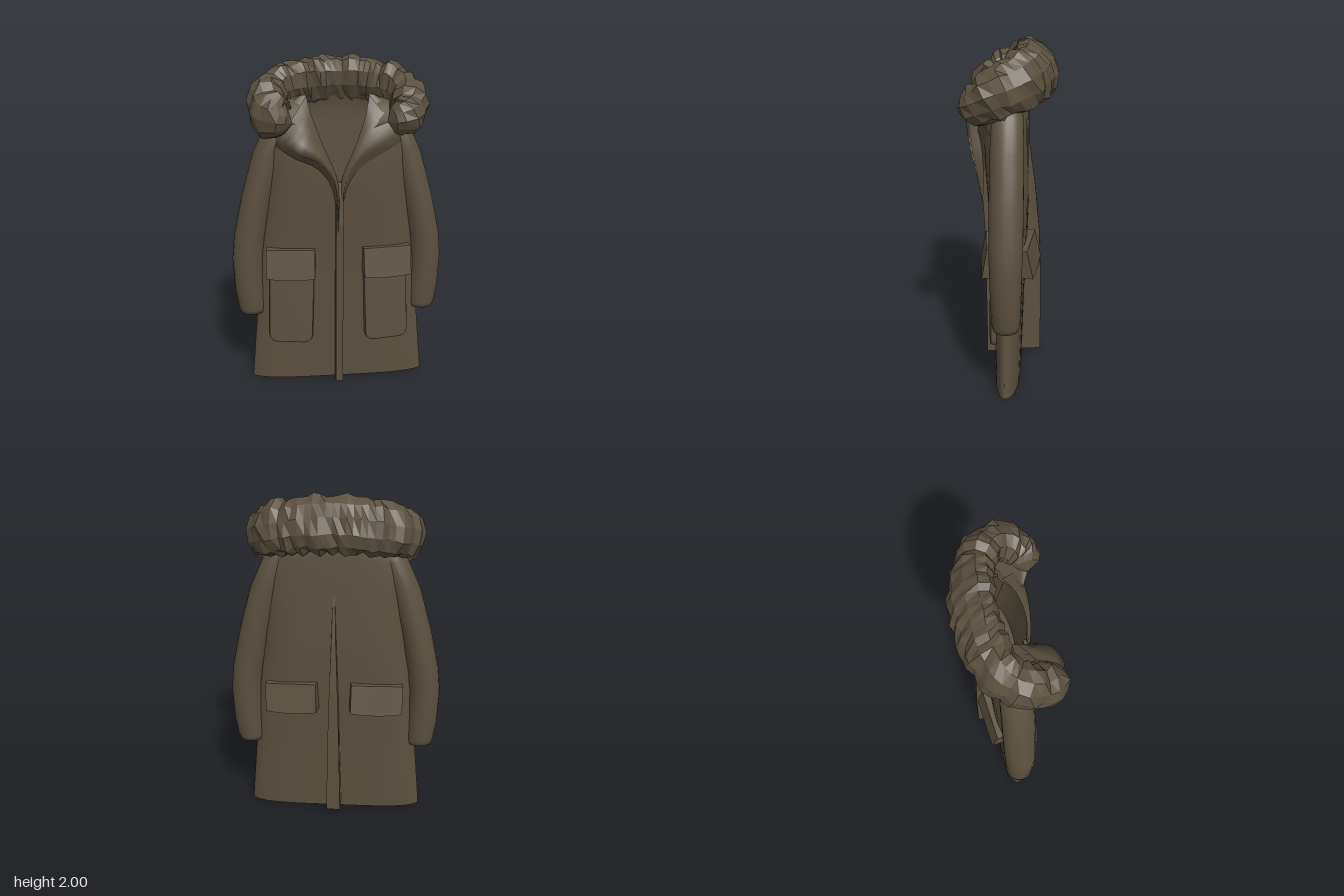
import * as THREE from 'three';

const V = (x, y, z) => new THREE.Vector3(x, y, z);
const cloth = new THREE.MeshStandardMaterial({ color: 0x5b5040, side: THREE.DoubleSide });
cloth.name = 'darkOliveCloth';

let seed = 11;
const rand = () => (seed = (seed * 16807) % 2147483647) / 2147483647;

// Linear lookup in rows of [key, value, value...]
function lookup(rows, k, col) {
  for (let i = 1; i < rows.length; i++) {
    const a = rows[i - 1], b = rows[i];
    if (k <= b[0] || i === rows.length - 1) {
      const t = THREE.MathUtils.clamp((k - a[0]) / (b[0] - a[0]), 0, 1);
      return a[col] + (b[col] - a[col]) * t;
    }
  }
}

// Surface through rows of points; closed joins the ends of each row
function loft(rows, closed = false, flat = false) {
  const n = rows[0].length, pos = [], idx = [];
  rows.forEach(r => r.forEach(p => pos.push(p.x, p.y, p.z)));
  for (let i = 0; i < rows.length - 1; i++) {
    for (let j = 0; j < (closed ? n : n - 1); j++) {
      const a = i * n + j, b = i * n + (j + 1) % n, c = a + n, d = b + n;
      idx.push(a, b, d, a, d, c);
    }
  }
  let g = new THREE.BufferGeometry();
  g.setAttribute('position', new THREE.Float32BufferAttribute(pos, 3));
  g.setIndex(idx);
  if (flat) g = g.toNonIndexed();
  g.computeVertexNormals();
  return g;
}

const curve = pts => new THREE.CatmullRomCurve3(pts.map(p => V(...p)));

// y, half width, front depth, back depth, half width of the neck opening
const BODY = [
  [0, 0.545, 0.07, -0.082, 0], [0.45, 0.502, 0.078, -0.095, 0], [0.8, 0.47, 0.092, -0.112, 0],
  [1.1, 0.43, 0.115, -0.12, 0], [1.3, 0.415, 0.13, -0.118, 0], [1.5, 0.415, 0.135, -0.114, 0.09],
  [1.62, 0.395, 0.11, -0.112, 0.14], [1.72, 0.33, 0.06, -0.108, 0.165], [1.78, 0.21, 0.0, -0.09, 0.18],
];
function bodyPoint(x, y, front) {
  const u = Math.min(1, Math.abs(x) / lookup(BODY, y, 1));
  const depth = lookup(BODY, y, front ? 2 : 3);
  return V(x, y, depth * Math.sqrt(1 - u ** (front ? 3.5 : 4.5)));
}
const levels = Array.from({ length: 25 }, (_, i) => 1.78 * i / 24);
const across = Array.from({ length: 21 }, (_, i) => i / 20);

export function createModel() {
  const coat = new THREE.Group();
  coat.name = 'coat';
  const add = (name, geo) => {
    const m = new THREE.Mesh(geo, cloth);
    m.name = name;
    coat.add(m);
    return m;
  };

  // Body panels
  const easeOut = t => Math.sin(t * Math.PI / 2);
  add('backPanel', loft(levels.map(y => across.map(t =>
    bodyPoint(Math.sin((t - 0.5) * Math.PI) * lookup(BODY, y, 1), y, false)))));
  for (const s of [1, -1]) {
    add(s > 0 ? 'leftFrontPanel' : 'rightFrontPanel', loft(levels.map(y => {
      const a = lookup(BODY, y, 4), b = lookup(BODY, y, 1);
      const row = across.map(t => bodyPoint(s * (a + (b - a) * easeOut(t)), y, true));
      return s > 0 ? row : row.reverse();
    })));
  }
  add('hemUnderside', loft([true, false].map(f =>
    across.map(t => bodyPoint(Math.sin((t - 0.5) * Math.PI) * 0.545, 0, f)))));

  // Sleeves: y, centre x, half width, half depth
  const sleeve = [
    [1.69, 0.29, 0.05, 0.05], [1.62, 0.335, 0.08, 0.085], [1.45, 0.402, 0.092, 0.092],
    [1.2, 0.475, 0.092, 0.094], [0.95, 0.53, 0.094, 0.094], [0.8, 0.547, 0.093, 0.09],
    [0.6, 0.541, 0.092, 0.085], [0.48, 0.531, 0.084, 0.08], [0.452, 0.53, 0.075, 0.073],
    [0.455, 0.53, 0.058, 0.056], [0.52, 0.53, 0.055, 0.052], [0.52, 0.53, 0.001, 0.001],
  ];
  for (const s of [1, -1]) {
    const rows = sleeve.map(([y, x, w, d]) => Array.from({ length: 18 }, (_, j) => {
      const a = -s * j / 18 * Math.PI * 2;
      return V(s * (x + w * Math.cos(a)), y, -0.008 + d * Math.sin(a));
    }));
    add(s > 0 ? 'leftSleeve' : 'rightSleeve', loft(rows, true));
  }

  // Front placket and back pleat, cut from side profiles (z, y)
  function ridge(name, profile, half, widthAt) {
    const shape = new THREE.Shape(profile.map(p => new THREE.Vector2(...p)));
    const g = new THREE.ExtrudeGeometry(shape, { depth: 2 * half, bevelEnabled: false });
    g.translate(0, 0, -half).rotateY(-Math.PI / 2);
    const p = g.attributes.position;
    for (let i = 0; i < p.count; i++) p.setX(i, p.getX(i) * widthAt(p.getY(i)));
    g.computeVertexNormals();
    add(name, g);
  }
  ridge('frontPlacket', [[0.05, 0], [0.14, 0], [0.143, 0.5], [0.15, 0.9], [0.16, 1.05],
    [0.15, 1.22], [0.135, 1.3], [0.11, 1.3], [0.08, 0.9]], 0.022, () => 1);
  ridge('backPleat', [[-0.07, 0.035], [-0.2, 0.045], [-0.198, 0.5], [-0.185, 0.85],
    [-0.155, 1.15], [-0.116, 1.42], [-0.11, 1.2], [-0.1, 0.8]], 0.043,
  y => Math.max(0.15, 1 - (y / 1.45) ** 1.6));

  // Pockets and flaps
  function pocketShape(w, h, r) {
    const s = new THREE.Shape(), x = w / 2, y = h / 2;
    s.moveTo(-x, y).lineTo(-x, -y + r).quadraticCurveTo(-x, -y, -x + r, -y);
    s.lineTo(x - r, -y).quadraticCurveTo(x, -y, x, -y + r).lineTo(x, y);
    return s;
  }
  function flapGeometry(w, h, top, bottom) {
    const g = new THREE.BoxGeometry(w, h, 0.1, 6, 1, 1);
    const p = g.attributes.position;
    for (let i = 0; i < p.count; i++) {
      const low = p.getY(i) < 0;
      if (p.getZ(i) > 0) p.setZ(i, low ? bottom : top);
      if (low) p.setY(i, p.getY(i) + 0.012 * (Math.abs(p.getX(i)) * 2 / w) ** 2);
    }
    g.computeVertexNormals();
    return g;
  }
  for (const s of [1, -1]) {
    const side = s > 0 ? 'left' : 'right';
    const bag = add(side + 'FrontPocket', new THREE.ExtrudeGeometry(pocketShape(0.25, 0.46, 0.05),
      { depth: 0.06, bevelThickness: 0.012, bevelSize: 0.01, bevelSegments: 2 }));
    bag.position.set(s * 0.285, 0.505, 0.025);
    bag.rotation.set(-0.03, s * 0.1, s * 0.035);
    const flap = add(side + 'FrontFlap', flapGeometry(0.29, 0.185, 0.055, 0.085));
    flap.position.set(s * 0.285, 0.795, 0.063);
    flap.rotation.y = s * 0.1;
    const rear = add(side + 'BackFlap', flapGeometry(0.31, 0.18, 0.04, 0.075));
    rear.position.set(s * 0.25, 0.79, -0.1);
    rear.rotation.set(0, Math.PI - s * 0.13, s * 0.05);
  }

  // Lapels: the right one stands further out
  const lapel = (name, s, outer) => {
    const inner = curve([[0, 1.0, 0.12], [0.008, 1.3, 0.135], [0.09, 1.51, 0.13],
      [0.155, 1.68, 0.08], [0.18, 1.78, 0.02]].map(([x, y, z]) => [s * x, y, z]));
    const edge = curve(outer.map(([x, y, z]) => [s * x, y, z]));
    const rows = Array.from({ length: 15 }, (_, i) => {
      const a = inner.getPoint(i / 14), b = edge.getPoint(i / 14);
      return [0, 0.25, 0.5, 0.75, 1].map(t => {
        const p = a.clone().lerp(b, t);
        p.z += 0.025 * Math.sin(t * Math.PI) * (i / 14);
        return p;
      }).concat(bodyPoint(b.x * 1.06, b.y - 0.06, true));
    });
    add(name, loft(rows));
  };
  lapel('rightLapel', -1, [[0.012, 1.0, 0.163], [0.018, 1.19, 0.2], [0.05, 1.35, 0.24],
    [0.13, 1.45, 0.265], [0.24, 1.5, 0.28], [0.34, 1.57, 0.18]]);
  lapel('leftLapel', 1, [[0.012, 1.0, 0.15], [0.018, 1.19, 0.153], [0.05, 1.35, 0.158],
    [0.13, 1.46, 0.165], [0.23, 1.52, 0.163], [0.34, 1.58, 0.13]]);

  // Fur trim: a lumpy horseshoe around the hood
  const half = [[0.265, 1.65, 0.175], [0.36, 1.675, 0.15], [0.402, 1.745, 0.05],
    [0.35, 1.79, -0.06], [0.2, 1.825, -0.135]];
  const mirror = pts => [...pts.map(([x, y, z]) => [-x, y, z]), [0, 1.84, -0.158],
    ...[...pts].reverse()];
  const path = curve(mirror(half));
  const N = 44, R = 11, fur = [];
  for (let i = 0; i <= N; i++) {
    const t = i / N, c = path.getPointAt(t), tan = path.getTangentAt(t);
    const out = V(tan.z, 0, -tan.x).normalize();
    const up = out.clone().cross(tan).normalize();
    if (up.y < 0) up.negate();
    const mid = Math.sin(t * Math.PI);
    const lean = 0.55 * mid ** 2; // the back of the trim leans towards the face
    const end = Math.min(1, Math.sqrt(Math.min(t, 1 - t) / 0.06) + 0.02);
    const fold = 1 + 0.13 * (rand() - 0.5);
    fur.push(Array.from({ length: R }, (_, j) => {
      const a = j / R * Math.PI * 2, k = end * fold * (1 + 0.18 * (rand() - 0.5));
      const h = Math.sin(a) * k * (0.105 + 0.058 * mid);
      const w = Math.cos(a) * k * (0.112 - 0.01 * mid);
      return c.clone().addScaledVector(up, h * Math.cos(lean) + w * Math.sin(lean))
        .addScaledVector(out, w * Math.cos(lean) - h * Math.sin(lean));
    }));
  }
  add('furTrim', loft(fur, true, true));

  // Hood lining between the fur and the neck
  const neck = curve(mirror([[0.17, 1.6, 0.12], [0.2, 1.66, 0.1], [0.22, 1.73, 0.04],
    [0.2, 1.765, -0.03], [0.12, 1.77, -0.085]]));
  add('hoodLining', loft(Array.from({ length: 25 }, (_, i) => {
    const a = path.getPoint(i / 24), b = neck.getPoint(i / 24);
    return [0, 0.33, 0.67, 1].map(t => a.clone().lerp(b, t));
  })));

  return coat;
}
